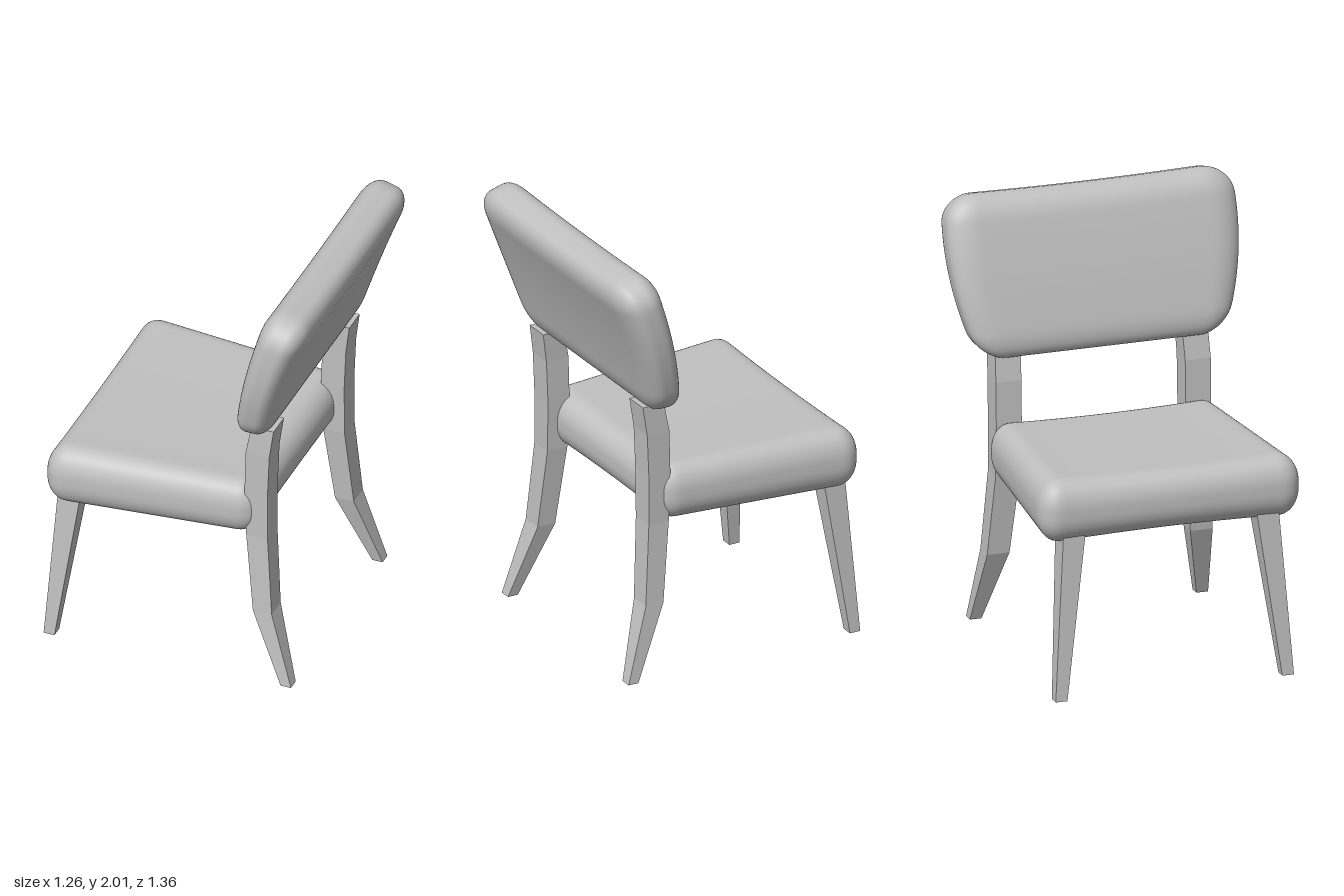
import * as THREE from 'three';
import { mergeVertices } from 'three/addons/utils/BufferGeometryUtils.js';

// Smooth cushion: box with elliptically rounded edges, then bent by a rule
function cushion(half, radius, segments, bend) {
  let geo = new THREE.BoxGeometry(half[0] * 2, half[1] * 2, half[2] * 2, ...segments);
  geo.deleteAttribute('uv');
  geo.deleteAttribute('normal');
  geo = mergeVertices(geo, 1e-5);
  const pos = geo.attributes.position;
  const p = new THREE.Vector3();
  for (let i = 0; i < pos.count; i++) {
    const v = [pos.getX(i), pos.getY(i), pos.getZ(i)];
    const core = v.map((a, k) => THREE.MathUtils.clamp(a, radius[k] - half[k], half[k] - radius[k]));
    const d = v.map((a, k) => (a - core[k]) / radius[k]);
    const max = Math.max(...d.map(Math.abs));
    const s = max / (Math.hypot(...d) || 1);
    p.set(...core.map((c, k) => c + d[k] * s * radius[k]));
    bend(p);
    pos.setXYZ(i, p.x, p.y, p.z);
  }
  geo.computeVertexNormals();
  return geo;
}

// Faceted leg through rectangular sections [y, x0, x1, z0, z1], bottom to top
function leg(sections, side) {
  const rings = sections.map(([y, x0, x1, a, b]) => {
    const [z0, z1] = side > 0 ? [a, b] : [-b, -a];
    return [[x0, y, z1], [x1, y, z1], [x1, y, z0], [x0, y, z0]];
  });
  const out = [];
  const quad = (a, b, c, d) => out.push(...a, ...b, ...c, ...a, ...c, ...d);
  for (let i = 0; i + 1 < rings.length; i++) {
    for (let k = 0; k < 4; k++) {
      const n = (k + 1) % 4;
      quad(rings[i][k], rings[i][n], rings[i + 1][n], rings[i + 1][k]);
    }
  }
  const [a, b, c, d] = rings[0];
  quad(d, c, b, a);
  quad(...rings[rings.length - 1]);
  const geo = new THREE.BufferGeometry();
  geo.setAttribute('position', new THREE.Float32BufferAttribute(out, 3));
  geo.computeVertexNormals();
  return geo;
}

export function createModel() {
  const group = new THREE.Group();
  const grey = new THREE.MeshStandardMaterial({ color: 0xc0c0c0 });
  grey.name = 'plainGrey';
  const add = (name, geo) => {
    const mesh = new THREE.Mesh(geo, grey);
    mesh.name = name;
    group.add(mesh);
  };

  // Seat: tapers in width and thickness towards the back, slightly dished
  add('seat', cushion([0.495, 0.145, 0.62], [0.1, 0.13, 0.1], [48, 18, 52], (p) => {
    const u = (p.x + 0.495) / 0.99;
    const w = p.z / 0.62;
    p.z *= 1 - 0.145 * u;
    p.y = 0.866 + p.y * (1.01 - 0.12 * u) * (0.93 + 0.07 * Math.min(1, w * w * 1.5));
    p.x -= 0.135;
  }));

  // Backrest: leans back along a curve, narrower and thinner at the bottom
  add('backrest', cushion([0.1, 0.355, 0.68], [0.075, 0.12, 0.14], [14, 36, 56], (p) => {
    const t = p.y / 0.355;
    const w = p.z / 0.68;
    p.z *= 1 - 0.075 * (t - 0.45) ** 2;
    p.x *= 0.95 + 0.1 * t;
    p.y += 1.645 - p.x * 0.15 * (1 + t) - 0.012 * (1 - w * w) * Math.max(t, 0);
    p.x += 0.43 + 0.105 * t + 0.015 * t * t;
  }));

  // Legs: straight tapered front pair, curved rear pair rising to the backrest
  const front = [
    [0, -0.64, -0.588, 0.505, 0.56],
    [0.78, -0.59, -0.48, 0.4, 0.505],
  ];
  const rear = [
    [0.012, 0.495, 0.545, 0.505, 0.56],
    [0.36, 0.35, 0.44, 0.425, 0.53],
    [0.74, 0.308, 0.41, 0.39, 0.505],
    [0.98, 0.3, 0.41, 0.385, 0.505],
    [1.18, 0.305, 0.418, 0.385, 0.505],
    [1.32, 0.33, 0.437, 0.38, 0.5],
  ];
  for (const [side, label] of [[1, 'Left'], [-1, 'Right']]) {
    add('frontLeg' + label, leg(front, side));
    add('rearLeg' + label, leg(rear, side));
  }
  return group;
}
